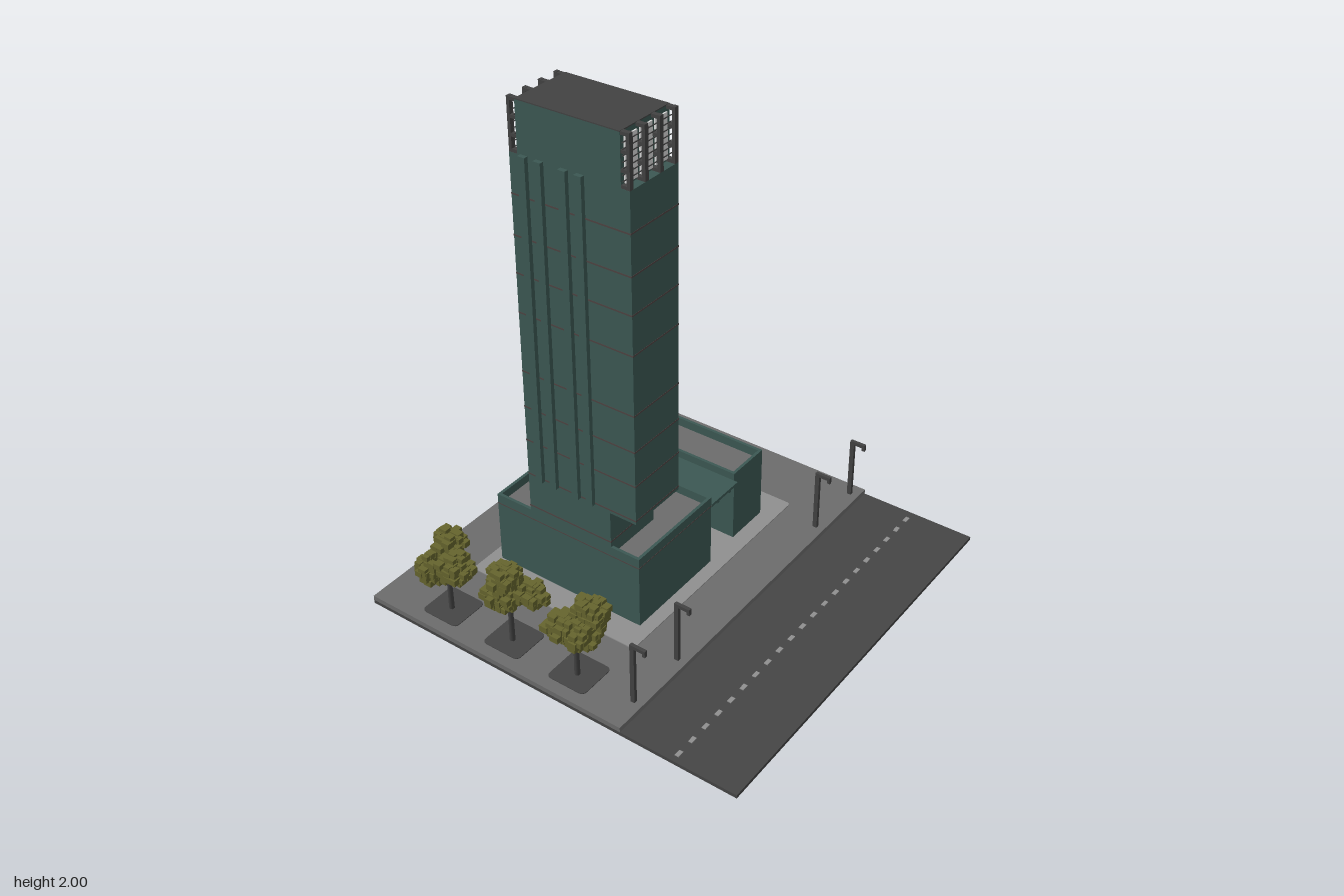
import * as THREE from 'three';
import { mergeGeometries } from 'three/addons/utils/BufferGeometryUtils.js';

const mat = (name, color) => {
  const m = new THREE.MeshStandardMaterial({ color });
  m.name = name;
  return m;
};

export function createModel() {
  const teal = mat('teal cladding', 0x3c5853);
  const dark = mat('dark metal', 0x424242);
  const road = mat('asphalt', 0x454545);
  const walk = mat('pavement grey', 0x6c6c6c);
  const plaza = mat('plaza grey', 0x8f8f8f);
  const white = mat('light panel', 0xdadada);
  const leaf = mat('olive foliage', 0x65642d);
  const band = mat('brown joint', 0x4d4342);

  const model = new THREE.Group();
  model.name = 'towerBlock';
  const group = (name, parent = model) => {
    const g = new THREE.Group();
    g.name = name;
    parent.add(g);
    return g;
  };
  // Box geometry and mesh given by opposite corners
  const boxGeo = (x0, x1, y0, y1, z0, z1) =>
    new THREE.BoxGeometry(x1 - x0, y1 - y0, z1 - z0)
      .translate((x0 + x1) / 2, (y0 + y1) / 2, (z0 + z1) / 2);
  const add = (name, geo, material, parent = model) => {
    const m = new THREE.Mesh(geo, material);
    m.name = name;
    parent.add(m);
    return m;
  };
  const box = (name, material, c, parent) => add(name, boxGeo(...c), material, parent);
  // Flat slab with rounded corners lying on the ground
  const slab = (name, material, x0, x1, z0, z1, r, y, h, parent) => {
    const s = new THREE.Shape();
    s.moveTo(x0 + r, z0).lineTo(x1 - r, z0).quadraticCurveTo(x1, z0, x1, z0 + r);
    s.lineTo(x1, z1 - r).quadraticCurveTo(x1, z1, x1 - r, z1);
    s.lineTo(x0 + r, z1).quadraticCurveTo(x0, z1, x0, z1 - r);
    s.lineTo(x0, z0 + r).quadraticCurveTo(x0, z0, x0 + r, z0);
    const g = new THREE.ExtrudeGeometry(s, { depth: h, bevelEnabled: false, curveSegments: 4 });
    g.rotateX(Math.PI / 2).translate(0, y + h, 0);
    return add(name, g, material, parent);
  };

  // Ground: road, raised pavement, plaza and dashed centre line
  const ground = group('ground');
  box('road', road, [-0.82, 0.82, 0, 0.014, -0.82, 0.82], ground);
  box('pavement', walk, [-0.82, 0.34, 0.014, 0.034, -0.82, 0.82], ground);
  slab('plaza', plaza, -0.622, 0.145, -0.56, 0.485, 0.015, 0.034, 0.004, ground);
  const dashes = [];
  for (let i = 0; i < 21; i++) {
    const z = -0.768 + i * 0.0775;
    dashes.push(boxGeo(0.553, 0.569, 0.014, 0.017, z - 0.014, z + 0.014));
  }
  add('roadDashes', mergeGeometries(dashes), plaza, ground);

  // Low blocks: solid body, grey roof and thin parapet
  const lowBlock = (name, x0, x1, z0, z1) => {
    const g = group(name);
    const t = 0.012, top = 0.345, roof = 0.305;
    box('body', teal, [x0, x1, 0.034, roof, z0, z1], g);
    box('roof', walk, [x0 + t, x1 - t, roof, roof + 0.004, z0 + t, z1 - t], g);
    add('parapet', mergeGeometries([
      boxGeo(x0, x0 + t, roof, top, z0, z1),
      boxGeo(x1 - t, x1, roof, top, z0, z1),
      boxGeo(x0 + t, x1 - t, roof, top, z0, z0 + t),
      boxGeo(x0 + t, x1 - t, roof, top, z1 - t, z1),
    ]), teal, g);
    return g;
  };
  const podium = lowBlock('frontPodium', -0.573, 0.09, -0.078, 0.373);
  box('podiumJoint', band, [-0.574, 0.091, 0.303, 0.307, -0.079, 0.374], podium);
  lowBlock('rearPodium', -0.573, 0.078, -0.442, -0.248);

  // Thin canopy joining the two blocks, with hanging beams
  const bridge = group('bridge');
  box('deck', teal, [-0.573, 0.094, 0.302, 0.314, -0.248, -0.078], bridge);
  for (const z of [-0.125, -0.203])
    box('beam', teal, [-0.57, 0.09, 0.29, 0.302, z - 0.007, z + 0.007], bridge);

  // Tower on a narrower neck, overhanging to one side
  const tower = group('tower');
  const zb = 0.117, zf = 0.373;
  box('neck', teal, [-0.41, -0.035, 0.305, 0.5, zb, zf], tower);
  box('shaft', teal, [-0.41, 0.08, 0.5, 1.805, zb, zf], tower);
  const joints = [0.515, 0.665, 0.81, 0.96, 1.2, 1.355, 1.5, 1.655].map(
    y => boxGeo(-0.411, 0.081, y - 0.003, y + 0.003, zb - 0.001, zf + 0.001));
  joints.push(boxGeo(-0.411, -0.034, 0.366, 0.372, zb - 0.001, zf + 0.001));
  add('floorJoints', mergeGeometries(joints), band, tower);

  // Vertical fins on front and back
  const fins = [];
  for (const x of [-0.347, -0.282, -0.181, -0.116])
    for (const [z0, z1] of [[zf, 0.39], [0.1, zb]])
      fins.push(boxGeo(x - 0.015, x + 0.015, 0.51, 1.808, z0, z1));
  add('fins', mergeGeometries(fins), teal, tower);

  // Crown: recessed core with pale side panels behind open frames
  const crown = group('crown', tower);
  box('core', teal, [-0.375, 0.045, 1.805, 1.996, zb, zf], crown);
  box('roof', dark, [-0.375, 0.045, 1.996, 2, zb, zf], crown);
  for (const [inner, s] of [[-0.375, -1], [0.045, 1]]) {
    const side = group(s < 0 ? 'rightFrame' : 'leftFrame', crown);
    const span = (a, b, y0, y1, z0, z1) => {
      const p = inner + s * a, q = inner + s * b;
      return boxGeo(Math.min(p, q), Math.max(p, q), y0, y1, z0, z1);
    };
    const panels = [], posts = [], slats = [];
    for (let i = 0; i < 4; i++) {
      const z = 0.127 + i * 0.0787, w = 0.009;
      posts.push(span(0.023, 0.035, 1.805, 2, z - w, z + w));
      for (const y of [1.811, 1.866, 1.931, 1.993])
        posts.push(span(0, 0.024, y - 0.006, y + 0.006, z - w, z + w));
      if (i < 3) panels.push(span(0, 0.006, 1.815, 1.978, z + 0.008, z + 0.071));
    }
    for (let k = 0; k < 7; k++) {
      const y = 1.83 + k * 0.022;
      slats.push(span(0.006, 0.009, y - 0.0015, y + 0.0015, zb, zf));
    }
    add('panels', mergeGeometries(panels), white, side);
    add('posts', mergeGeometries(posts), dark, side);
    add('slats', mergeGeometries(slats), dark, side);
  }

  // Street lamps with an arm and a small drop head
  for (const z of [-0.763, -0.5, 0.432, 0.69]) {
    const lamp = group('streetLamp');
    box('post', dark, [0.292, 0.31, 0.034, 0.295, z - 0.007, z + 0.007], lamp);
    box('arm', dark, [0.31, 0.357, 0.281, 0.295, z - 0.007, z + 0.007], lamp);
    box('head', dark, [0.345, 0.357, 0.268, 0.281, z - 0.006, z + 0.006], lamp);
  }

  // Trees: dark pit, trunk and blocky crown grown from a few lobes
  let seed = 7;
  const rnd = () => (seed = (seed * 16807) % 2147483647) / 2147483647;
  const tree = (x, lobes) => {
    const g = group('tree');
    slab('pit', road, x - 0.083, x + 0.083, 0.61, 0.772, 0.022, 0.034, 0.003, g);
    add('trunk', new THREE.CylinderGeometry(0.009, 0.011, 0.22, 6).translate(x, 0.146, 0.7), dark, g);
    const cubes = [], step = 0.021;
    for (let i = -6; i <= 6; i++) for (let j = 0; j <= 11; j++) for (let k = -5; k <= 5; k++) {
      const p = [x + i * step, 0.165 + j * step, 0.695 + k * step];
      const inside = lobes.some(([cx, cy, cz, rx, ry, rz]) =>
        ((p[0] - cx) / rx) ** 2 + ((p[1] - cy) / ry) ** 2 + ((p[2] - cz) / rz) ** 2 < 1);
      if (!inside || rnd() < 0.25) continue;
      const s = 0.022 + rnd() * 0.008, o = () => (rnd() - 0.5) * 0.01;
      cubes.push(new THREE.BoxGeometry(s * 1.15, s * 0.85, s).translate(p[0] + o(), p[1] + o(), p[2] + o()));
    }
    add('foliage', mergeGeometries(cubes), leaf, g);
  };
  // Each lobe: centre x, y, z and radii
  tree(-0.535, [[-0.56, 0.3, 0.66, 0.06, 0.065, 0.06], [-0.48, 0.265, 0.72, 0.06, 0.055, 0.06],
    [-0.58, 0.235, 0.74, 0.045, 0.065, 0.045]]);
  tree(-0.24, [[-0.255, 0.31, 0.7, 0.055, 0.06, 0.06], [-0.27, 0.24, 0.71, 0.065, 0.055, 0.055],
    [-0.17, 0.26, 0.66, 0.06, 0.04, 0.055]]);
  tree(0.06, [[0.1, 0.31, 0.66, 0.06, 0.065, 0.055], [0.03, 0.25, 0.72, 0.07, 0.05, 0.065],
    [0.1, 0.25, 0.71, 0.06, 0.05, 0.055]]);

  return model;
}
